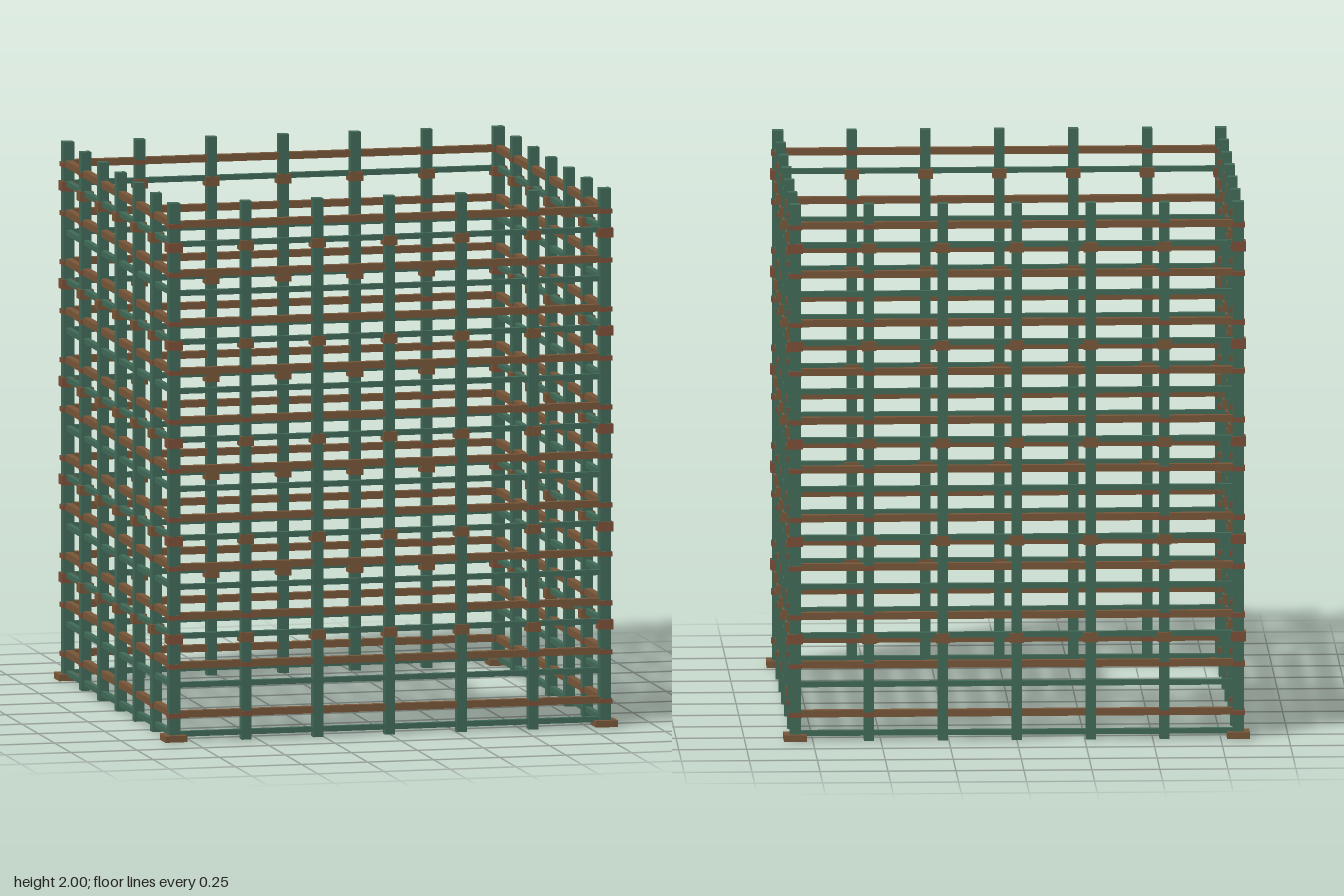
import * as THREE from 'three';

export function createModel() {
  const model = new THREE.Group();
  model.name = 'openCage';
  const make = (name, color) => {
    const m = new THREE.MeshStandardMaterial({ color });
    m.name = name;
    return m;
  };
  const green = make('green paint', 0x416b59);
  const brown = make('brown bar', 0x795739);
  const rust = make('rusty clamp', 0x7d5038);

  const R = 0.815;          // half distance between corner posts
  const BAYS = 6;           // bays per side
  const STEP = (2 * R) / BAYS;
  const PITCH = 0.1818;     // vertical rail spacing
  const ROWS = 11;

  function box(parent, name, material, w, h, d, x, y, z) {
    const mesh = new THREE.Mesh(new THREE.BoxGeometry(w, h, d), material);
    mesh.name = name;
    mesh.position.set(x, y, z);
    parent.add(mesh);
  }

  // Four identical walls, each carrying the corner post at its left end
  for (let side = 0; side < 4; side++) {
    const wall = new THREE.Group();
    wall.name = 'wall' + (side + 1);
    wall.rotation.y = (side * Math.PI) / 2;
    model.add(wall);

    // Posts, with brackets at every second green rail
    for (let i = 0; i < BAYS; i++) {
      const x = -R + i * STEP;
      const corner = i === 0;
      const w = corner ? 0.041 : 0.037;
      box(wall, corner ? 'cornerPost' : 'post', green, w, 2, w, x, 1, R);
      for (let k = 0; k < 5; k++) {
        const b = corner ? 0.055 : 0.052;
        box(wall, 'bracket', corner ? rust : brown, b, 0.036, b, x, 0.381 + k * 2 * PITCH, R);
      }
      // Small clamps where the brown rails meet the outer posts
      if (corner || i === 1 || i === BAYS - 1) {
        const c = corner ? 0.048 : 0.041;
        for (let k = 0; k < ROWS; k++) {
          box(wall, 'railClamp', rust, c, 0.018, c, x, 0.097 + k * PITCH, R);
        }
      }
    }

    // Alternating horizontal rails
    for (let k = 0; k < ROWS; k++) {
      box(wall, 'greenRail', green, 2 * R, 0.02, 0.02, 0, 0.028 + k * PITCH, R);
      box(wall, 'brownRail', brown, 2 * R, 0.026, 0.026, 0, 0.101 + k * PITCH, R);
    }

    // Corner foot plate
    box(wall, 'footPlate', brown, 0.084, 0.024, 0.084, -R, 0.014, R);
  }
  return model;
}
